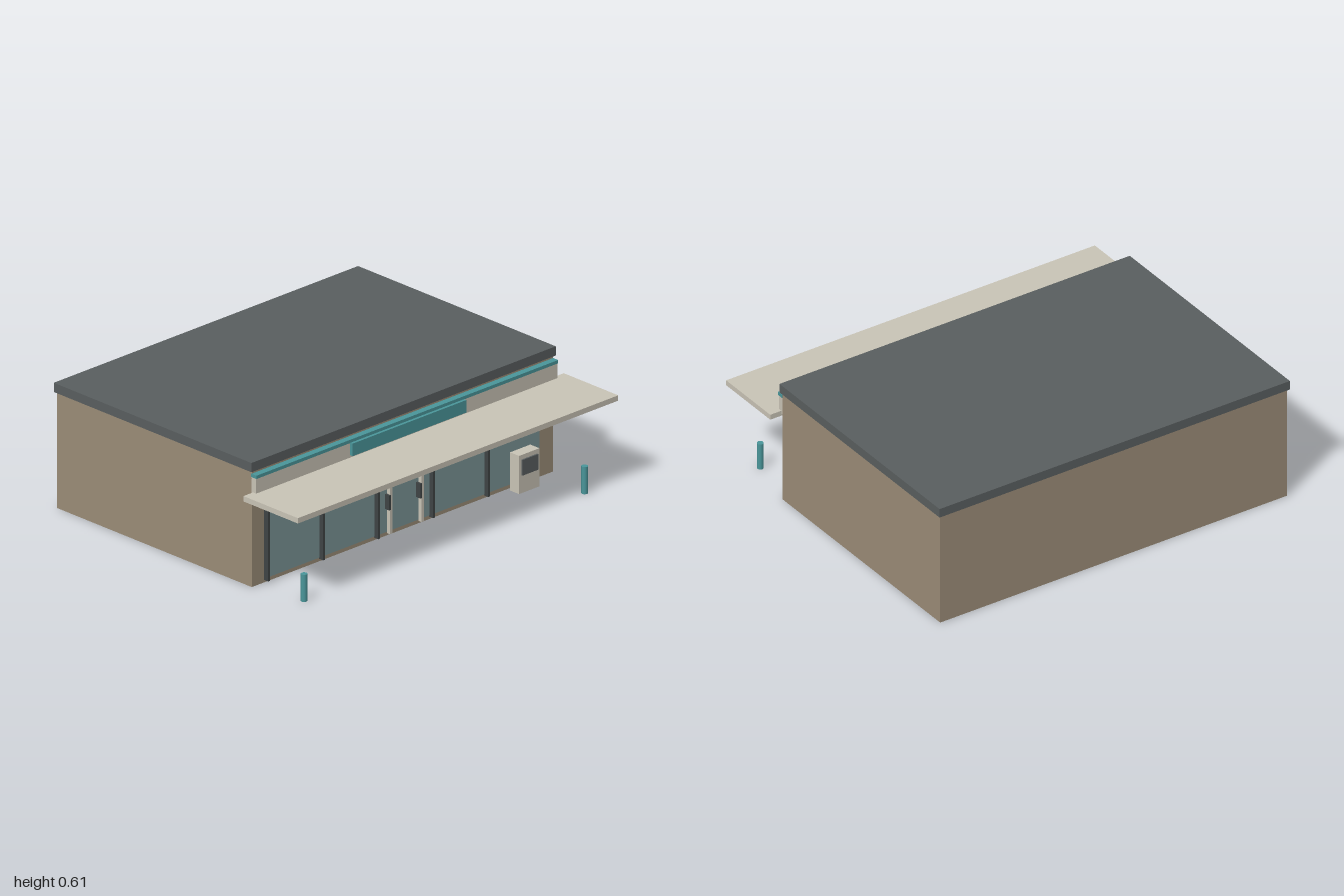
import * as THREE from 'three';

const material = (name, color) => {
  const m = new THREE.MeshStandardMaterial({ color });
  m.name = name;
  return m;
};

export function createModel() {
  const model = new THREE.Group();
  model.name = 'shopBuilding';

  const tan = material('tanWall', 0x9c8d78);
  const slate = material('slateRoof', 0x5a5f60);
  const cream = material('creamTrim', 0xcac5b7);
  const teal = material('tealAccent', 0x4a979b);
  const glass = material('paleGlass', 0x7b9597);
  const dark = material('darkMetal', 0x3f4445);

  // Box given by its minimum and maximum on each axis
  const box = (name, mat, [x0, x1], [y0, y1], [z0, z1], parent = model) => {
    const mesh = new THREE.Mesh(new THREE.BoxGeometry(x1 - x0, y1 - y0, z1 - z0), mat);
    mesh.position.set((x0 + x1) / 2, (y0 + y1) / 2, (z0 + z1) / 2);
    mesh.name = name;
    parent.add(mesh);
    return mesh;
  };

  // Building shell
  box('walls', tan, [-0.94, 0.94], [0, 0.566], [-0.8, 0.452]);
  box('roofSlab', slate, [-0.95, 0.95], [0.565, 0.61], [-0.81, 0.46]);

  // Front fascia, accent strip, blank sign panel and canopy
  box('fascia', cream, [-0.94, 0.94], [0.45, 0.538], [0.45, 0.48]);
  box('accentStrip', teal, [-0.942, 0.942], [0.537, 0.553], [0.45, 0.484]);
  box('signPanel', teal, [-0.355, 0.355], [0.477, 0.538], [0.478, 0.498]);
  box('canopy', cream, [-1, 1], [0.438, 0.464], [0.46, 0.81]);

  // Shopfront: five glazed bays, each with a dark mullion on one side
  const shopfront = new THREE.Group();
  shopfront.name = 'shopfront';
  model.add(shopfront);
  for (let i = 0; i < 5; i++) {
    const x = -0.857 + i * 0.3435;
    box('windowPane', glass, [x, x + 0.327], [0.025, 0.44], [0.451, 0.465], shopfront);
    box('mullion', dark, [x - 0.006, x + 0.006], [0.012, 0.44], [0.452, 0.478], shopfront);
  }

  // Sliding door stiles and handles
  for (const [stile, handle] of [[-0.101, -0.116], [0.096, 0.078]]) {
    box('doorStile', cream, [stile - 0.007, stile + 0.007], [0.018, 0.41], [0.464, 0.484], shopfront);
    box('doorHandle', dark, [handle - 0.005, handle + 0.005], [0.14, 0.212], [0.464, 0.492], shopfront);
  }

  // Service machine beside the window
  const machine = new THREE.Group();
  machine.name = 'serviceMachine';
  model.add(machine);
  box('machineCabinet', cream, [0.653, 0.78], [0, 0.186], [0.472, 0.53], machine);
  box('machineScreen', slate, [0.667, 0.765], [0.088, 0.164], [0.53, 0.538], machine);

  // Bollards in front of the canopy corners
  const bollardShape = new THREE.CylinderGeometry(0.016, 0.016, 0.132, 10);
  for (const x of [-0.879, 0.873]) {
    const bollard = new THREE.Mesh(bollardShape, teal);
    bollard.name = 'bollard';
    bollard.position.set(x, 0.066, 0.725);
    model.add(bollard);
  }

  return model;
}
